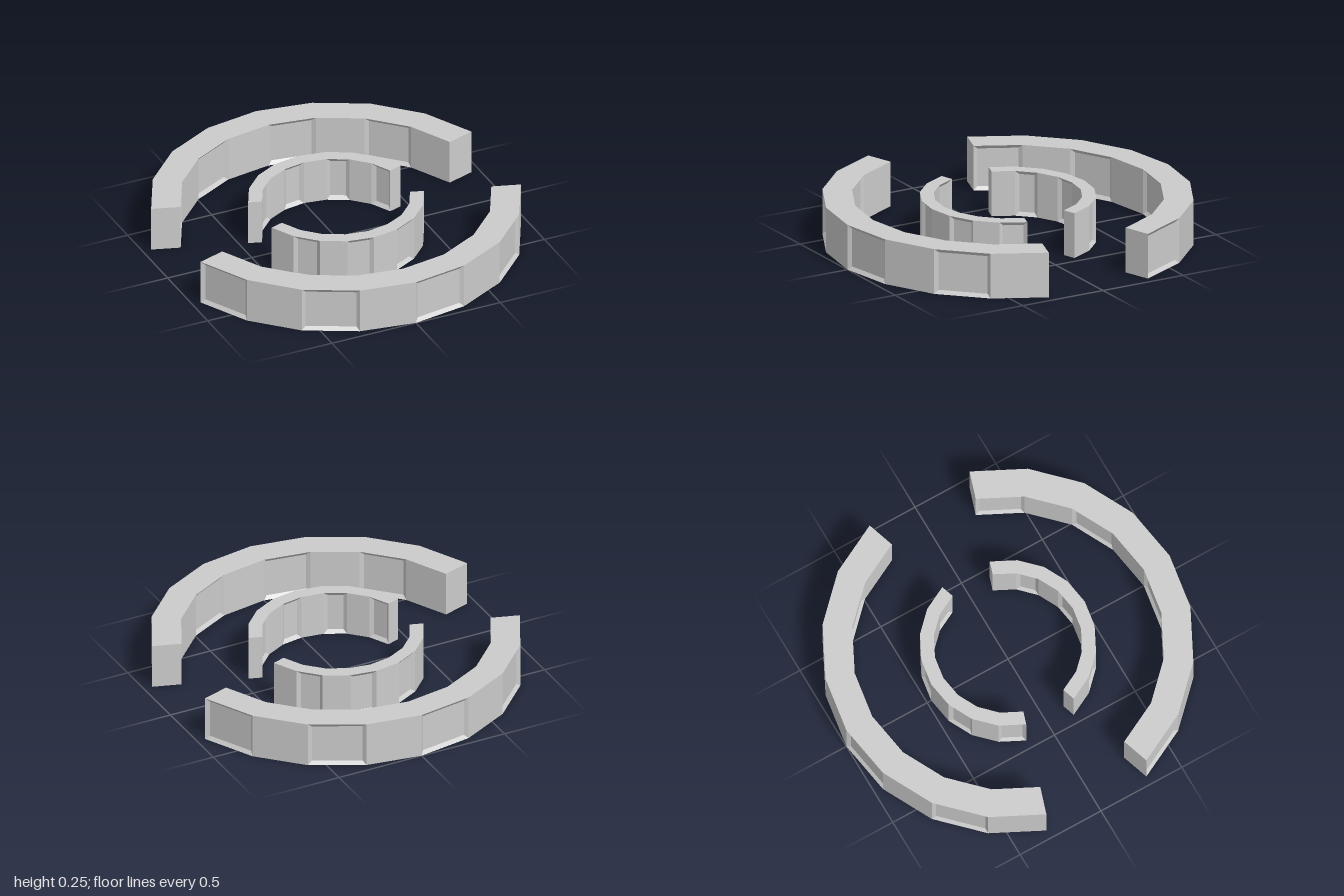
import * as THREE from 'three';

const HEIGHT = 0.253;
const STEP = Math.PI / 10; // 18 degrees per segment
const SEGMENTS = 8;
const INSET = 0.02; // width of the bevel round each recessed panel
const DEPTH = 0.016; // how far a panel sinks into the wall

const material = new THREE.MeshStandardMaterial({ color: 0xcccccc, flatShading: true });

// Point on a ring; angle is measured from +z towards +x
const at = (radius, angle, y) =>
  new THREE.Vector3(Math.sin(angle) * radius, y, Math.cos(angle) * radius);

// Adds a quad whose corners run counter-clockwise seen from its front
function quad(out, a, b, c, d) {
  for (const p of [a, b, c, a, c, d]) out.push(p.x, p.y, p.z);
}

// Wall face: plain, or with a bevelled sunken panel
function wallFace(out, corners, recessed) {
  if (!recessed) return quad(out, ...corners);
  const [a, b, , d] = corners;
  const u = b.clone().sub(a).normalize();
  const v = d.clone().sub(a).normalize();
  const n = u.clone().cross(v);
  const signs = [[1, 1], [-1, 1], [-1, -1], [1, -1]];
  const panel = corners.map((p, i) => p.clone()
    .addScaledVector(u, signs[i][0] * INSET)
    .addScaledVector(v, signs[i][1] * INSET)
    .addScaledVector(n, -DEPTH));
  quad(out, ...panel);
  for (let i = 0; i < 4; i++) {
    const j = (i + 1) % 4;
    quad(out, corners[i], corners[j], panel[j], panel[i]);
  }
}

// Faceted arc wall; panels alternate, and swap between outer and inner side
function arcWall(name, outer, inner, parity) {
  const out = [];
  const start = -STEP * SEGMENTS / 2;
  for (let i = 0; i < SEGMENTS; i++) {
    const a = start + i * STEP;
    const b = a + STEP;
    const [oa, ob, ia, ib] = [at(outer, a, 0), at(outer, b, 0), at(inner, a, 0), at(inner, b, 0)];
    const [oaT, obT, iaT, ibT] =
      [at(outer, a, HEIGHT), at(outer, b, HEIGHT), at(inner, a, HEIGHT), at(inner, b, HEIGHT)];
    const outside = i % 2 === parity;
    wallFace(out, [oa, ob, obT, oaT], outside);
    wallFace(out, [ib, ia, iaT, ibT], !outside);
    quad(out, oaT, obT, ibT, iaT); // top
    quad(out, oa, ia, ib, ob); // bottom
    if (i === 0) quad(out, ia, oa, oaT, iaT); // end caps
    if (i === SEGMENTS - 1) quad(out, ob, ib, ibT, obT);
  }
  const geometry = new THREE.BufferGeometry();
  geometry.setAttribute('position', new THREE.Float32BufferAttribute(out, 3));
  geometry.computeVertexNormals();
  const mesh = new THREE.Mesh(geometry, material);
  mesh.name = name;
  return mesh;
}

export function createModel() {
  const group = new THREE.Group();
  group.name = 'concentricArcWalls';
  // Front arcs, and the same arcs turned half round for the back
  ['front', 'back'].forEach((side, k) => {
    const half = new THREE.Group();
    half.name = side + 'Half';
    half.add(arcWall(side + 'OuterArc', 1, 0.84, 0));
    half.add(arcWall(side + 'InnerArc', 0.475, 0.4, 1));
    half.rotation.y = k * Math.PI;
    group.add(half);
  });
  return group;
}
